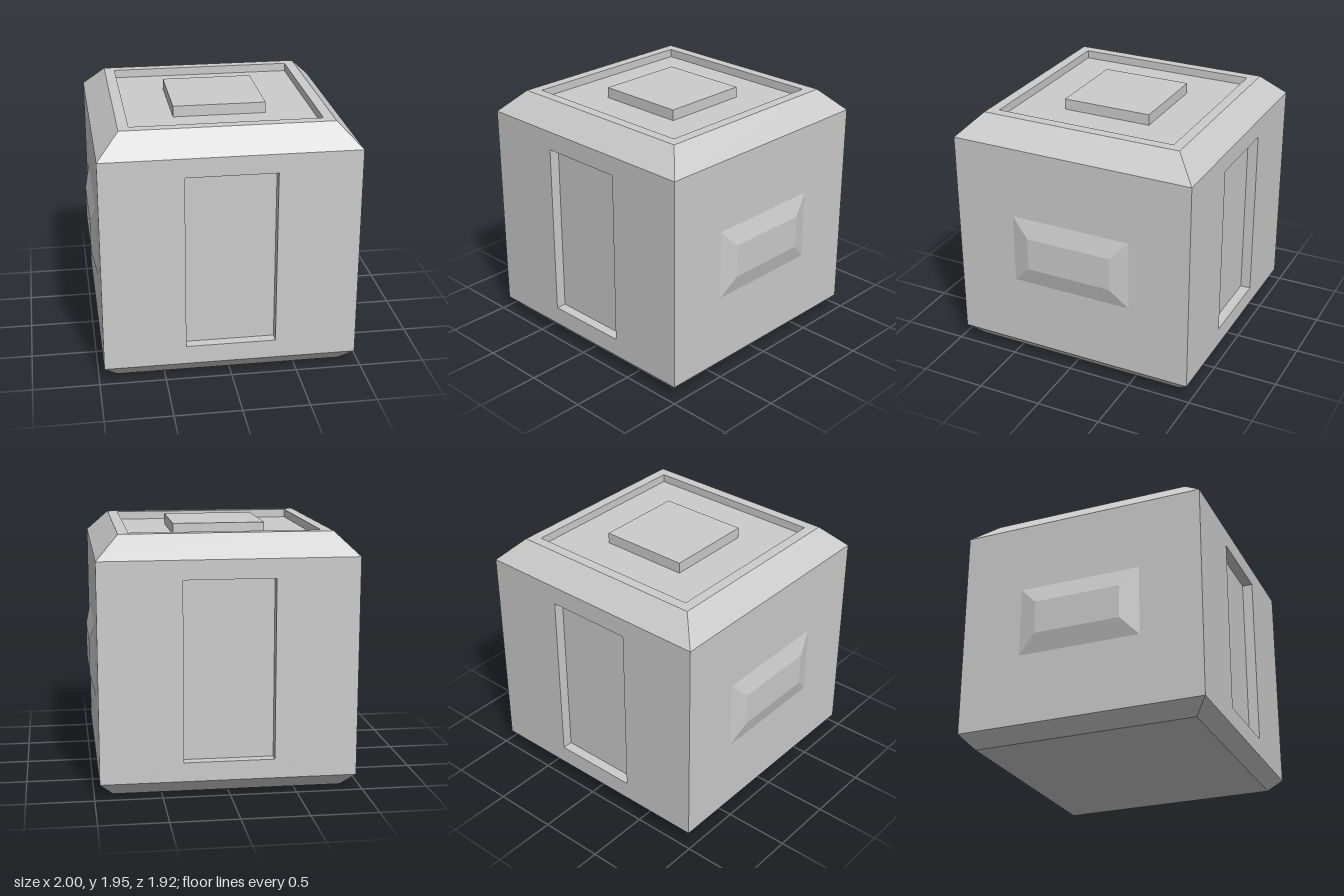
import * as THREE from 'three';

const material = new THREE.MeshStandardMaterial({ color: 0xcccccc, flatShading: true });

// Skin through concentric rectangles [halfWidth, halfHeight, z], facing +z; optionally capped.
function panel(name, rings, capped) {
  const loops = rings.map(([w, h, z]) => [[-w, -h, z], [w, -h, z], [w, h, z], [-w, h, z]]);
  const positions = [];
  const quad = (a, b, c, d) => positions.push(...a, ...b, ...c, ...a, ...c, ...d);
  for (let k = 0; k < loops.length - 1; k++) {
    const outer = loops[k], inner = loops[k + 1];
    for (let i = 0; i < 4; i++) {
      const j = (i + 1) % 4;
      quad(outer[i], outer[j], inner[j], inner[i]);
    }
  }
  if (capped) quad(...loops[loops.length - 1]);
  const geometry = new THREE.BufferGeometry();
  geometry.setAttribute('position', new THREE.Float32BufferAttribute(positions, 3));
  geometry.computeVertexNormals();
  const mesh = new THREE.Mesh(geometry, material);
  mesh.name = name;
  return mesh;
}

export function createModel() {
  const model = new THREE.Group();
  model.name = 'cubeModule';

  const HALF = 0.96;               // half width of the body
  const LOW = 0.105, HIGH = 1.755; // lower and upper edges of the walls
  const MID = (LOW + HIGH) / 2, WALL = (HIGH - LOW) / 2;

  // Front and back walls, each with a recessed door
  for (const [side, turn] of [['front', 0], ['back', Math.PI]]) {
    const face = new THREE.Group();
    face.name = side + 'Face';
    face.add(
      panel(side + 'Wall', [[HALF, WALL, HALF], [0.34, 0.68, HALF]], false),
      panel(side + 'Door', [[0.34, 0.68, HALF], [0.34, 0.68, HALF - 0.08]], true)
    );
    face.position.y = MID;
    face.rotation.y = turn;
    model.add(face);
  }

  // Side walls, each with a raised bevelled block
  for (const [side, turn] of [['left', Math.PI / 2], ['right', -Math.PI / 2]]) {
    const face = new THREE.Group();
    face.name = side + 'Face';
    face.add(
      panel(side + 'Wall', [[HALF, WALL, HALF], [0.48, 0.273, HALF]], false),
      panel(side + 'RaisedBlock', [[0.48, 0.273, HALF], [0.34, 0.13, 1]], true)
    );
    face.position.y = MID;
    face.rotation.y = turn;
    model.add(face);
  }

  // Bevelled roof with a rim, a sunken deck and a square hatch
  const top = new THREE.Group();
  top.name = 'roof';
  top.add(
    panel('roofBevelAndRim', [[HALF, HALF, HIGH], [0.79, 0.79, 1.925], [0.71, 0.71, 1.925]], false),
    panel('sunkenDeck', [[0.71, 0.71, 1.925], [0.71, 0.71, 1.862], [0.35, 0.35, 1.862]], false),
    panel('hatch', [[0.35, 0.35, 1.862], [0.35, 0.35, 1.945]], true)
  );
  top.rotation.x = -Math.PI / 2;
  model.add(top);

  // Bevelled underside
  const base = panel('base', [[HALF, HALF, -LOW], [0.86, 0.86, 0]], true);
  base.rotation.x = Math.PI / 2;
  model.add(base);

  return model;
}
